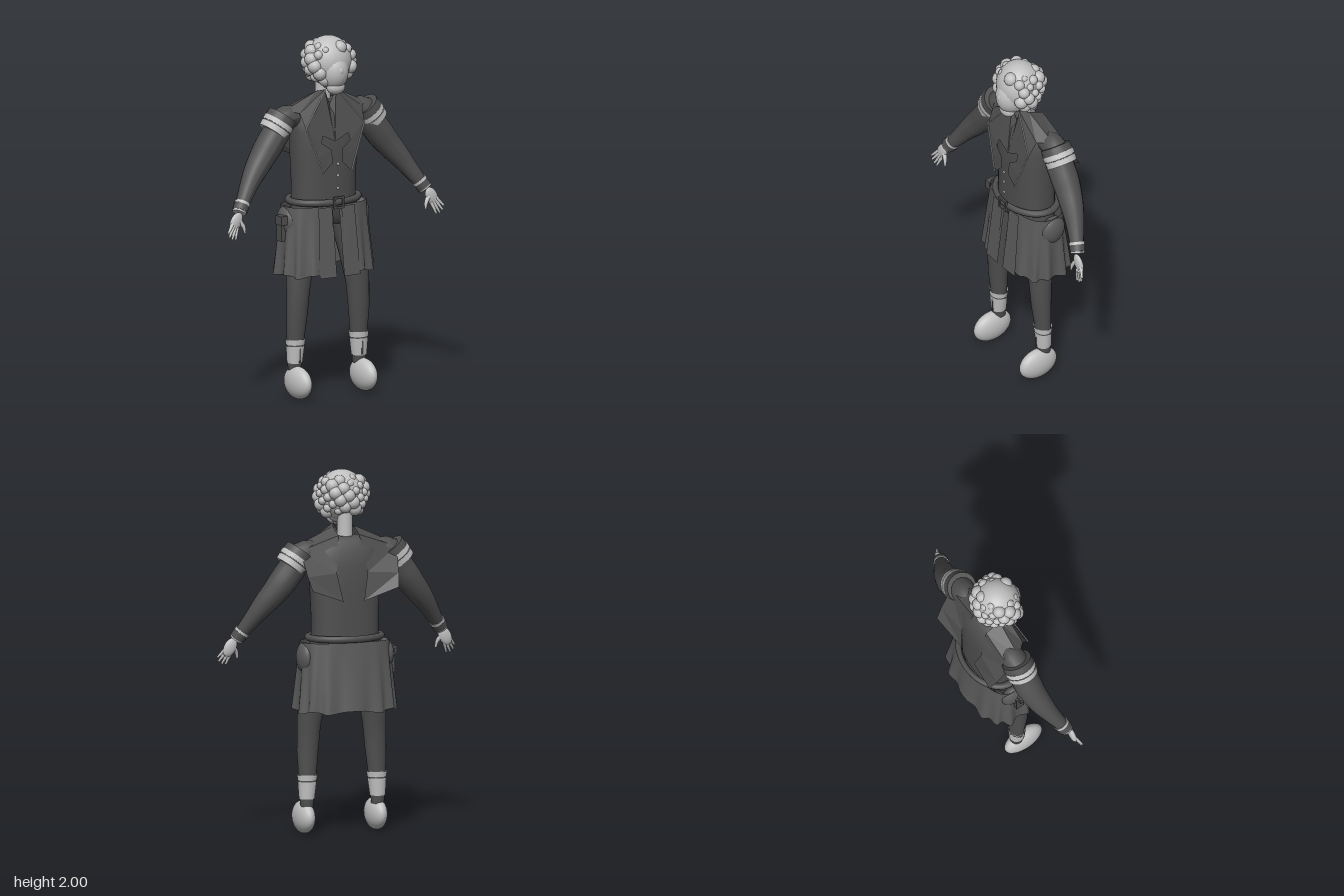
import * as THREE from 'three';

const mat = (name, color) => {
  const m = new THREE.MeshStandardMaterial({ color, side: THREE.DoubleSide });
  m.name = name;
  return m;
};
const V = (x, y, z) => new THREE.Vector3(x, y, z);

export function createModel() {
  const cloth = mat('dark cloth', 0x4f4f4f);
  const skirtCloth = mat('coat tail cloth', 0x5a5a5a);
  const pale = mat('pale grey', 0xc0c0c0);
  const model = new THREE.Group();
  model.name = 'figure';

  const add = (name, geo, material, parent = model) => {
    const m = new THREE.Mesh(geo, material);
    m.name = name;
    parent.add(m);
    return m;
  };
  // Ellipsoid at a centre with three radii
  const blob = (name, c, r, material, seg = 24) => {
    const m = add(name, new THREE.SphereGeometry(1, seg, Math.ceil(seg * 0.7)), material);
    m.position.set(...c);
    m.scale.set(...r);
    return m;
  };
  // Grid of points to a surface; closed joins the last column to the first
  const grid = (rows, closed) => {
    const n = rows[0].length, pos = [], idx = [];
    rows.forEach(r => r.forEach(p => pos.push(p.x, p.y, p.z)));
    for (let i = 0; i < rows.length - 1; i++)
      for (let j = 0; j < (closed ? n : n - 1); j++) {
        const a = i * n + j, b = i * n + (j + 1) % n;
        idx.push(a, a + n, b, b, a + n, b + n);
      }
    const g = new THREE.BufferGeometry();
    g.setAttribute('position', new THREE.Float32BufferAttribute(pos, 3));
    g.setIndex(idx);
    g.computeVertexNormals();
    return g;
  };
  const flat = g => { const f = g.toNonIndexed(); f.computeVertexNormals(); return f; };
  const sp = (v, e) => Math.sign(v) * Math.abs(v) ** e;
  // Stack of superellipse sections [y, cx, cz, rx, rz], bottom to top
  const loft = (rows, e = 1, n = 28) => grid(rows.map(([y, cx, cz, rx, rz]) =>
    Array.from({ length: n }, (_, j) => {
      const a = j / n * Math.PI * 2;
      return V(cx + rx * sp(Math.cos(a), e), y, cz + rz * sp(Math.sin(a), e));
    })), true);
  // Tapered tube along a curve
  const limb = (pts, radii, n = 24) => {
    const curve = new THREE.CatmullRomCurve3(pts);
    const g = new THREE.TubeGeometry(curve, n, 1, 16), p = g.attributes.position, v = V(0, 0, 0);
    for (let i = 0; i < p.count; i++) {
      const u = Math.floor(i / 17) / n, c = curve.getPointAt(u);
      const t = u * (radii.length - 1), k = Math.min(Math.floor(t), radii.length - 2);
      const r = THREE.MathUtils.lerp(radii[k], radii[k + 1], t - k);
      v.fromBufferAttribute(p, i).sub(c).multiplyScalar(r).add(c);
      p.setXYZ(i, v.x, v.y, v.z);
    }
    g.computeVertexNormals();
    return g;
  };
  // Sleeve ring between two points
  const band = (name, a, b, ra, rb, material) => {
    const d = b.clone().sub(a);
    const m = add(name, new THREE.CylinderGeometry(rb, ra, d.length(), 20), material);
    m.position.copy(a).addScaledVector(d, 0.5);
    m.quaternion.setFromUnitVectors(V(0, 1, 0), d.normalize());
  };

  // Head with curled hair
  blob('head', [0, 1.86, 0.045], [0.13, 0.138, 0.125], pale, 32);
  blob('face', [0, 1.81, 0.09], [0.085, 0.11, 0.098], pale);
  blob('chin', [0, 1.725, 0.125], [0.055, 0.042, 0.04], pale);
  blob('nose', [0, 1.82, 0.175], [0.018, 0.025, 0.015], pale, 12);
  for (let i = 0; i < 80; i++) {
    const y = 1 - 2 * (i + 0.5) / 80, r = Math.sqrt(1 - y * y), a = i * 2.39996;
    const x = r * Math.cos(a), z = r * Math.sin(a);
    if (y > 0.82 || y < -0.75 || (z > 0.6 && y < 0.6)) continue;
    const s = 0.03 + 0.009 * Math.sin(i * 5.3);
    blob('curl', [x * 0.132, 1.856 + y * 0.118, 0.043 + z * 0.115], [s, s, s], pale, 12);
  }
  const neck = add('neck', new THREE.CylinderGeometry(0.041, 0.043, 0.16, 20), pale);
  neck.position.set(0, 1.7, -0.01);

  // Torso and hips
  add('torso', loft([
    [1.04, 0, -0.005, 0.187, 0.115], [1.2, 0, -0.005, 0.187, 0.115], [1.35, 0, -0.005, 0.195, 0.118],
    [1.48, 0, -0.005, 0.202, 0.115], [1.57, 0, -0.008, 0.2, 0.095], [1.615, 0, -0.01, 0.17, 0.065],
    [1.64, 0, -0.01, 0.1, 0.045], [1.645, 0, -0.01, 0.001, 0.001]], 0.8, 36), cloth);
  add('hips', loft([[0.94, 0, 0.01, 0.001, 0.001], [0.95, 0, 0.01, 0.17, 0.07],
    [1.0, 0, 0, 0.21, 0.105], [1.07, 0, 0, 0.19, 0.113]], 0.85), cloth);

  // Belt, buckle and buttons
  const belt = add('belt', new THREE.TorusGeometry(1, 0.1, 12, 56), cloth);
  belt.rotation.x = Math.PI / 2;
  belt.scale.set(0.205, 0.148, 0.19);
  belt.position.set(0, 1.086, -0.006);
  const frame = new THREE.Shape().moveTo(-0.034, -0.034).lineTo(0.034, -0.034).lineTo(0.034, 0.034).lineTo(-0.034, 0.034);
  frame.holes.push(new THREE.Path().moveTo(-0.022, -0.022).lineTo(-0.022, 0.022).lineTo(0.022, 0.022).lineTo(0.022, -0.022));
  const buckle = add('buckle', new THREE.ExtrudeGeometry(frame, { depth: 0.012, bevelEnabled: false }), cloth);
  buckle.position.set(0, 1.086, 0.15);
  for (const y of [1.3, 1.235, 1.165]) blob('button', [0, y, 0.147], [0.009, 0.009, 0.006], pale, 10);

  // Coat tails: pleated sheet, open at the front
  const tail = [];
  for (let i = 0; i <= 8; i++) {
    const t = i / 8, row = [];
    for (let j = 0; j <= 96; j++) {
      const a = 0.035 + (Math.PI * 2 - 0.07) * j / 96;
      const fold = 1 + 0.05 * t * Math.cos(a * 14) - 0.02 * t;
      const rx = 0.25 + 0.035 * t, rz = 0.128 + 0.046 * t;
      row.push(V(rx * fold * sp(Math.sin(a), 0.75), 1.065 - t * (0.38 + 0.008 * Math.cos(a * 7)), rz * fold * sp(Math.cos(a), 0.75) - 0.003));
    }
    tail.push(row);
  }
  add('coatTails', grid(tail, false), skirtCloth);

  // Sidearm on the right hip
  const grip = add('hipHolster', new THREE.BoxGeometry(0.04, 0.05, 0.06), cloth);
  grip.position.set(-0.283, 0.995, 0.02);
  const holster = add('hipHolster', new THREE.BoxGeometry(0.03, 0.13, 0.05), cloth);
  holster.position.set(-0.272, 0.94, 0.0);

  for (const s of [-1, 1]) {
    const P = (x, y, z) => V(x * s, y, z);

    // Broad collar: lapel tip, lapel, shoulder, back flap
    const collar = [
      [[0.03, 1.31, 0.143], [0.09, 1.25, 0.14]],
      [[0.035, 1.38, 0.138], [0.125, 1.34, 0.135]],
      [[0.09, 1.42, 0.128], [0.187, 1.51, 0.115]],
      [[0.035, 1.705, 0.07], [0.2, 1.59, 0.075]],
      [[0.06, 1.69, 0.02], [0.26, 1.6, 0.01]],
      [[0.06, 1.65, -0.07], [0.28, 1.575, -0.065]],
      [[0.09, 1.45, -0.125], [0.265, 1.44, -0.14]],
      [[0.06, 1.295, -0.15], [0.25, 1.365, -0.18]]];
    add('collar', flat(grid(collar.map(r => r.map(p => P(...p))), false)), cloth);
    // Beaded lapel trim
    const edge = [P(0.035, 1.705, 0.075), P(0.187, 1.51, 0.12), P(0.09, 1.25, 0.145)];
    for (let k = 0; k < 2; k++)
      add('lapelTrim', new THREE.TubeGeometry(new THREE.LineCurve3(edge[k], edge[k + 1]), 1, 0.0035, 6), pale);
    add('shirtFront', flat(grid([[P(0, 1.62, 0.06), P(0.035, 1.7, 0.068)],
      [P(0, 1.42, 0.122), P(0.187, 1.51, 0.113)]], false)), cloth);

    // Front coat panel and hip pouch
    add('frontPanel', grid([[P(0.03, 1.06, 0.135), P(0.115, 1.06, 0.132)],
      [P(0.028, 0.675, 0.175), P(0.13, 0.675, 0.17)]], false), skirtCloth);
    blob('hipPouch', [0.235 * s, 0.98, -0.01], [0.042, 0.085, 0.075], skirtCloth);

    // Arm
    add('arm', limb([P(0.18, 1.56, -0.01), P(0.255, 1.55, -0.01), P(0.307, 1.474, -0.005), P(0.386, 1.368, 0.002),
      P(0.481, 1.25, 0.03), P(0.59, 1.095, 0.085)], [0.06, 0.078, 0.078, 0.066, 0.048, 0.034]), cloth);
    const axis = (x, y, z, d, l) => P(x + d * 0.6 * l, y - d * 0.8 * l, z);
    const top = k => axis(0.258, 1.57, -0.008, 1, k);
    band('sleeveCap', top(0), top(0.04), 0.084, 0.087, cloth);
    band('sleeveBand', top(0.04), top(0.068), 0.089, 0.089, pale);
    band('sleeveGap', top(0.068), top(0.075), 0.085, 0.085, cloth);
    band('sleeveBand', top(0.075), top(0.108), 0.088, 0.085, pale);
    const low = k => P(0.468 + 0.55 * k, 1.265 - 0.8 * k, 0.027 + 0.2 * k);
    band('forearmBand', low(0), low(0.01), 0.054, 0.053, pale);
    band('forearmBand', low(0.025), low(0.035), 0.052, 0.051, pale);
    band('cuff', P(0.572, 1.122, 0.075), P(0.592, 1.092, 0.086), 0.042, 0.042, cloth);
    band('cuffBand', P(0.564, 1.134, 0.071), P(0.572, 1.122, 0.075), 0.043, 0.043, pale);
    band('cuffBand', P(0.592, 1.092, 0.086), P(0.597, 1.084, 0.089), 0.04, 0.038, pale);

    // Hand
    const palm = blob('palm', [0.626 * s, 1.04, 0.104], [0.036, 0.055, 0.017], pale, 16);
    palm.rotation.z = 0.5 * s;
    const tips = [[0.69, 0.985], [0.683, 0.962], [0.665, 0.948], [0.643, 0.945]];
    tips.forEach(([x, y], i) => add('finger',
      limb([P(0.652 - i * 0.01, 1.03 - i * 0.008, 0.108), P(x, y, 0.128)], [0.011, 0.006], 4), pale));
    add('thumb', limb([P(0.605, 1.04, 0.105), P(0.585, 1.01, 0.115), P(0.578, 0.975, 0.12)], [0.014, 0.011, 0.006], 6), pale);

    // Leg, boot cuff and foot
    add('leg', loft([[0.15, 0.206 * s, 0.03, 0.035, 0.036], [0.2, 0.206 * s, 0.032, 0.04, 0.04],
      [0.33, 0.202 * s, 0.034, 0.05, 0.044], [0.46, 0.198 * s, 0.042, 0.06, 0.052], [0.6, 0.19 * s, 0.042, 0.066, 0.06],
      [0.78, 0.17 * s, 0.03, 0.085, 0.075], [1.0, 0.13 * s, 0.01, 0.105, 0.09]]), cloth);
    add('bootCuff', loft([[0.195, 0.206 * s, 0.032, 0.043, 0.043], [0.29, 0.203 * s, 0.034, 0.053, 0.047]]), pale);
    add('bootStrap', loft([[0.29, 0.203 * s, 0.034, 0.051, 0.046], [0.298, 0.203 * s, 0.034, 0.051, 0.046]]), cloth);
    add('bootCuff', loft([[0.298, 0.203 * s, 0.034, 0.054, 0.048], [0.328, 0.202 * s, 0.034, 0.057, 0.05]]), pale);
    const slit = add('bootSlit', new THREE.BoxGeometry(0.008, 0.08, 0.008), cloth);
    slit.position.set(0.2 * s, 0.24, 0.076);
    blob('foot', [0.21 * s, 0.09, 0.072], [0.053, 0.09, 0.12], pale, 32);
  }
  return model;
}
